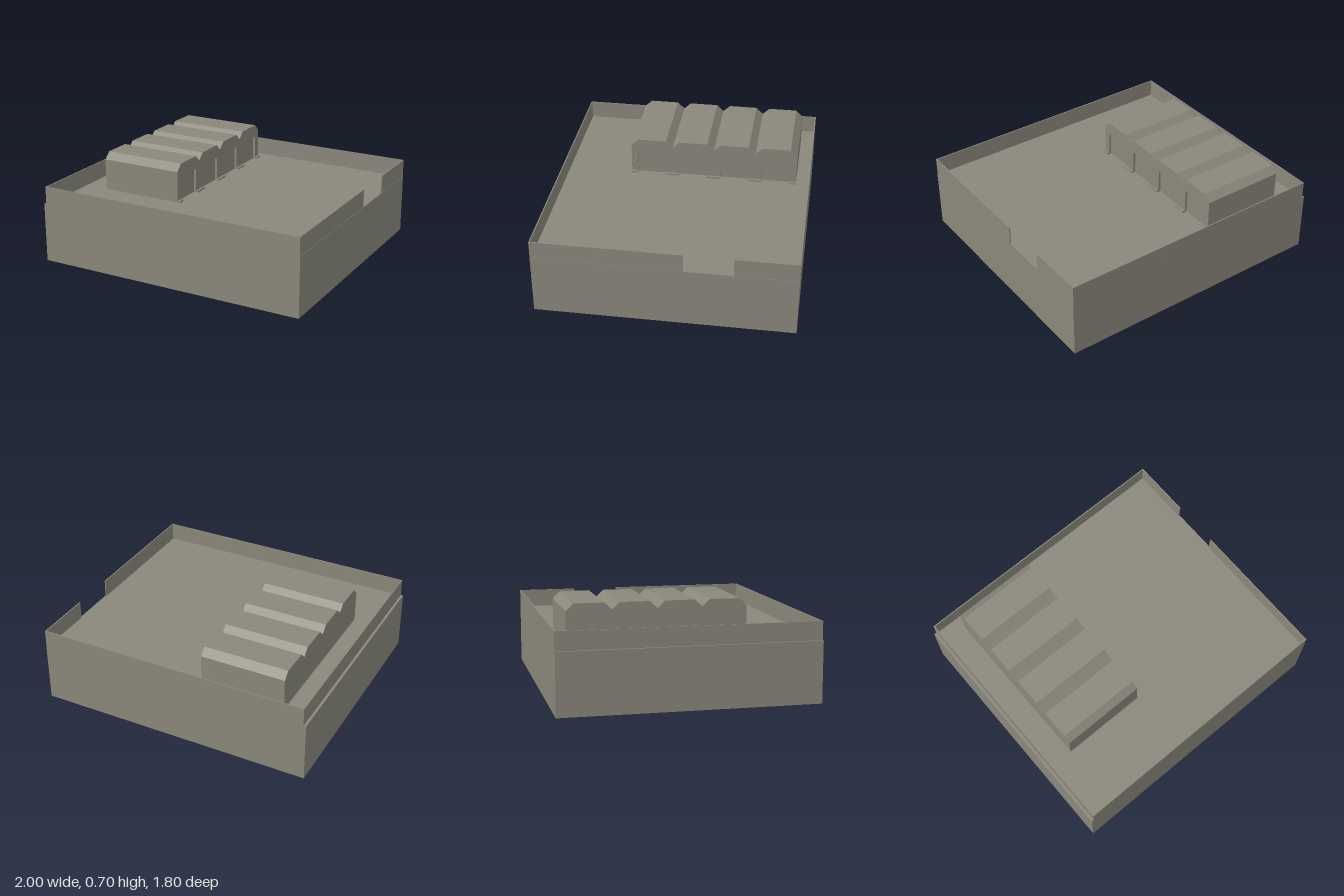
import * as THREE from 'three';

export function createModel() {
  const model = new THREE.Group();
  const stone = new THREE.MeshStandardMaterial({ color: 0x8a877b });
  stone.name = 'weathered stone';

  const add = (name, geometry) => {
    const mesh = new THREE.Mesh(geometry, stone);
    mesh.name = name;
    model.add(mesh);
    return mesh;
  };
  // Box given by its limits on each axis
  const block = (name, [x0, x1], [y0, y1], [z0, z1]) =>
    add(name, new THREE.BoxGeometry(x1 - x0, y1 - y0, z1 - z0))
      .position.set((x0 + x1) / 2, (y0 + y1) / 2, (z0 + z1) / 2);

  const floor = 0.43, wallTop = 0.56, t = 0.008;

  // Platform and parapet, with a gateway in the +x wall
  block('platform', [-1, 1], [0, floor], [-0.9, 0.9]);
  const rise = [floor, wallTop];
  block('frontParapet', [-0.982, 0.998], rise, [0.9 - t, 0.9]);
  block('backParapet', [-0.982, 0.998], rise, [-0.9, -0.9 + t]);
  block('rightParapet', [-0.982, -0.982 + t], rise, [-0.9 + t, 0.9 - t]);
  block('leftParapetFront', [0.998 - t, 0.998], rise, [-0.128, 0.9 - t]);
  block('leftParapetBack', [0.998 - t, 0.998], rise, [-0.9 + t, -0.469]);

  // Four-bay hall: profile across z (s = -z), swept along x
  const bays = 4, pitch = 0.3055, start = -0.423, end = start + bays * pitch;
  const slope = 0.05, eave = 0.657, ridge = 0.705, doorTop = 0.608;
  const hallProfile = (withDoors) => {
    const p = [[start, floor], [start, eave]];
    for (let i = 0; i < bays; i++) {
      const s = start + i * pitch;
      p.push([s + slope, ridge], [s + pitch - slope, ridge], [s + pitch, eave]);
    }
    p.push([end, floor]);
    for (let i = bays - 1; withDoors && i >= 0; i--) {
      const a = start + i * pitch + slope, b = a + pitch - 2 * slope;
      p.push([b, floor], [b, doorTop], [a, doorTop], [a, floor]);
    }
    return new THREE.Shape(p.map(([s, y]) => new THREE.Vector2(s, y)));
  };
  const sweep = (name, shape, x0, x1) => {
    const g = new THREE.ExtrudeGeometry(shape, { depth: x1 - x0, bevelEnabled: false });
    g.rotateY(Math.PI / 2).translate(x0, 0, 0);
    add(name, g);
  };
  sweep('hallBody', hallProfile(false), -0.798, -0.205);
  sweep('hallDoorwayFront', hallProfile(true), -0.205, -0.188);

  // Low plinths at the foot of each pier between the doors
  for (let i = 0; i <= bays; i++) {
    const s = start + i * pitch;
    const s0 = Math.max(s - slope, start), s1 = Math.min(s + slope, end);
    block('pierPlinth' + (i + 1), [-0.188, -0.17], [floor, 0.443], [-s1, -s0]);
  }
  return model;
}
